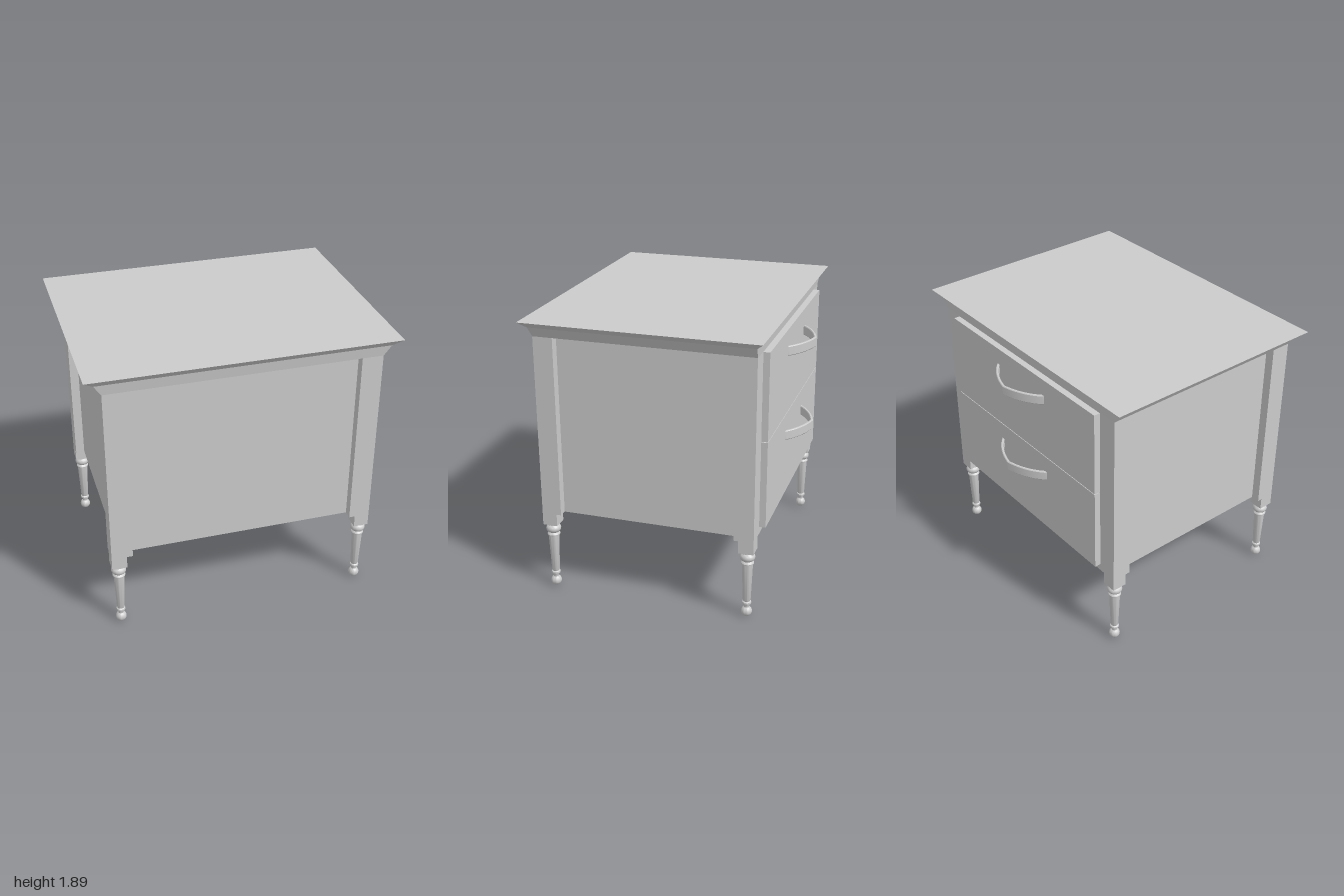
import * as THREE from 'three';
import { toCreasedNormals } from 'three/addons/utils/BufferGeometryUtils.js';

const material = new THREE.MeshStandardMaterial({ color: 0xcccccc });

function addMesh(parent, name, geometry) {
  const mesh = new THREE.Mesh(geometry, material);
  mesh.name = name;
  parent.add(mesh);
  return mesh;
}

// Box given by its limits on each axis
function addBox(parent, name, [x0, x1], [y0, y1], [z0, z1]) {
  const mesh = addMesh(parent, name, new THREE.BoxGeometry(x1 - x0, y1 - y0, z1 - z0));
  mesh.position.set((x0 + x1) / 2, (y0 + y1) / 2, (z0 + z1) / 2);
  return mesh;
}

// Stack of rectangles [y, halfWidth, zBack, zFront] joined with flat faces
function rectangleLoft(sections) {
  const rings = sections.map(([y, w, zb, zf]) => [[-w, y, zf], [w, y, zf], [w, y, zb], [-w, y, zb]]);
  const positions = [];
  const quad = (a, b, c, d) => positions.push(...a, ...b, ...c, ...a, ...c, ...d);
  for (let i = 0; i < rings.length - 1; i++) {
    const lo = rings[i], hi = rings[i + 1];
    for (let k = 0; k < 4; k++) {
      const n = (k + 1) % 4;
      quad(lo[k], lo[n], hi[n], hi[k]);
    }
  }
  const first = rings[0], last = rings[rings.length - 1];
  quad(first[3], first[2], first[1], first[0]);
  quad(...last);
  const geometry = new THREE.BufferGeometry();
  geometry.setAttribute('position', new THREE.Float32BufferAttribute(positions, 3));
  geometry.computeVertexNormals();
  return geometry;
}

// Turned leg: ball foot, ring, tapered shaft, collar and bulb
function legGeometry() {
  const points = [];
  const arc = (cy, r, ry, from, to, steps) => {
    for (let i = 0; i <= steps; i++) {
      const a = from + (to - from) * i / steps;
      points.push(new THREE.Vector2(Math.max(0, r * Math.cos(a)), cy + ry * Math.sin(a)));
    }
  };
  arc(0.036, 0.036, 0.036, -Math.PI / 2, 1.05, 10);
  const line = [
    [0.018, 0.078], [0.021, 0.088], [0.029, 0.093], [0.031, 0.1], [0.029, 0.107],
    [0.022, 0.112], [0.026, 0.122], [0.036, 0.385], [0.042, 0.388], [0.043, 0.394], [0.04, 0.4],
  ];
  line.forEach(([r, y]) => points.push(new THREE.Vector2(r, y)));
  arc(0.435, 0.05, 0.036, -0.9, 0.9, 8);
  [[0.04, 0.466], [0.046, 0.469], [0.046, 0.48]].forEach(([r, y]) => points.push(new THREE.Vector2(r, y)));
  return toCreasedNormals(new THREE.LatheGeometry(points, 28), 0.6);
}

// Bowed strap handle with a soft edge, extruded upwards
function handleGeometry() {
  const shape = new THREE.Shape();
  shape.moveTo(0.262, 0.695);
  shape.quadraticCurveTo(0.16, 0.803, 0, 0.835);
  shape.quadraticCurveTo(-0.16, 0.803, -0.262, 0.695);
  shape.lineTo(-0.236, 0.695);
  shape.quadraticCurveTo(-0.145, 0.787, 0, 0.817);
  shape.quadraticCurveTo(0.145, 0.787, 0.236, 0.695);
  shape.closePath();
  const geometry = new THREE.ExtrudeGeometry(shape, {
    depth: 0.055, curveSegments: 10, bevelEnabled: true,
    bevelThickness: 0.005, bevelSize: 0.004, bevelOffset: -0.004, bevelSegments: 1,
  });
  geometry.rotateX(-Math.PI / 2);
  return toCreasedNormals(geometry, 0.4);
}

export function createModel() {
  const model = new THREE.Group();
  model.name = 'nightstand';
  const zBack = -0.66, zFront = 0.78, half = 0.89;

  // Carcass with panels set back between the posts
  addBox(model, 'cabinetBody', [-0.83, 0.83], [0.56, 1.785], [zBack, 0.72]);

  // Corner posts, foot blocks and turned legs
  const leg = legGeometry();
  for (const side of [-1, 1]) {
    for (const end of [-1, 1]) {
      const corner = new THREE.Group();
      corner.name = (end > 0 ? 'front' : 'back') + (side > 0 ? 'Left' : 'Right') + 'Corner';
      model.add(corner);
      const span = (width) => (side > 0 ? [half - width, half] : [-half, -half + width]);
      const depth = (d) => (end > 0 ? [zFront - d, zFront] : [zBack, zBack + d]);
      addBox(corner, 'post', span(0.14), [0.56, 1.785], depth(0.132));
      addBox(corner, 'footBlock', span(0.1), [0.475, 0.56], depth(0.1));
      addMesh(corner, 'leg', leg).position.set(side * 0.84, 0, end > 0 ? 0.73 : -0.61);
    }
  }

  // Flared moulding and flat top
  addMesh(model, 'topMoulding', rectangleLoft([
    [1.78, half, zBack, zFront],
    [1.85, 0.937, -0.667, 0.79],
    [1.895, 1, -0.715, 0.83],
  ]));

  // Two drawers, each with a bowed handle
  const handle = handleGeometry();
  [[0.61, 1.192, 1.01], [1.197, 1.775, 1.595]].forEach(([y0, y1, handleY], i) => {
    const drawer = new THREE.Group();
    drawer.name = i ? 'upperDrawer' : 'lowerDrawer';
    model.add(drawer);
    addBox(drawer, 'drawerFront', [-0.755, 0.755], [y0, y1], [-0.702, zBack]);
    addMesh(drawer, 'handle', handle).position.y = handleY + 0.005;
  });

  return model;
}
